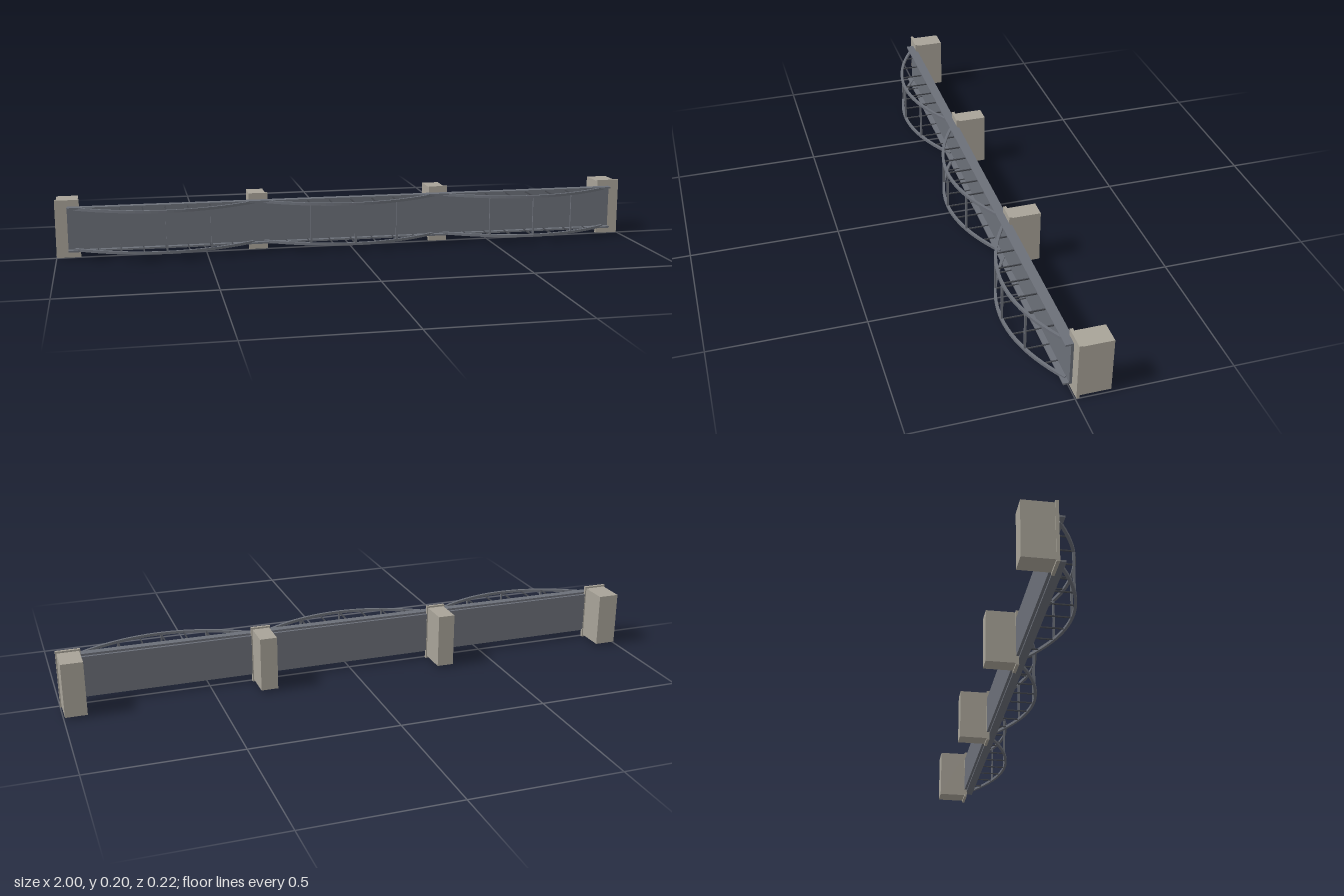
import * as THREE from 'three';

const concrete = new THREE.MeshStandardMaterial({ color: 0xa8a398 });
concrete.name = 'concrete';
const steel = new THREE.MeshStandardMaterial({ color: 0x6b6f78 });
steel.name = 'steel';
const cableSteel = new THREE.MeshStandardMaterial({ color: 0x44474d });
cableSteel.name = 'dark steel';

const MID = 0.0985; // centre line of the roadway in y

// box from min and max corners
function box(name, material, [x0, x1], [y0, y1], [z0, z1]) {
  const mesh = new THREE.Mesh(new THREE.BoxGeometry(x1 - x0, y1 - y0, z1 - z0), material);
  mesh.position.set((x0 + x1) / 2, (y0 + y1) / 2, (z0 + z1) / 2);
  mesh.name = name;
  return mesh;
}

const HALF_SPAN = 0.3;
const archHeight = (u) => 0.008 + 0.1 * (1 - (u / HALF_SPAN) ** 2);

// parabolic rib of constant thickness, extruded across the bridge
function archRib() {
  const outer = [], inner = [], steps = 24, t = 0.0046;
  for (let i = 0; i <= steps; i++) {
    const u = -HALF_SPAN + (2 * HALF_SPAN * i) / steps;
    const slope = (-0.2 * u) / HALF_SPAN ** 2;
    const n = new THREE.Vector2(-slope, 1).normalize().multiplyScalar(t);
    const p = new THREE.Vector2(u, archHeight(u));
    outer.push(p.clone().add(n));
    inner.unshift(p.clone().sub(n));
  }
  const geometry = new THREE.ExtrudeGeometry(new THREE.Shape([...outer, ...inner]), { depth: 0.009, bevelEnabled: false });
  return geometry.translate(0, 0, -0.0045).rotateX(Math.PI / 2);
}

export function createModel() {
  const bridge = new THREE.Group();
  bridge.name = 'archBridge';

  // roadway slab, underside beam and edge girders
  bridge.add(box('deckSlab', steel, [-0.96, 0.96], [0.023, 0.174], [-0.004, 0.005]));
  bridge.add(box('deckUnderside', steel, [-0.96, 0.96], [0.03, 0.167], [-0.013, -0.004]));
  for (const [y0, y1] of [[0.023, 0.029], [0.168, 0.174]]) {
    bridge.add(box('edgeGirder', steel, [-0.96, 0.96], [y0, y1], [-0.004, 0.023]));
  }

  // piers with slightly wider caps
  const piers = [[-0.96, 0.04], [-0.32, 0.033], [0.32, 0.033], [0.96, 0.04]];
  for (const [x, half] of piers) {
    const pier = new THREE.Group();
    pier.name = 'pier';
    const w = half - 0.004;
    pier.add(box('pierShaft', concrete, [x - w, x + w], [0.007, 0.19], [-0.112, -0.0125]));
    pier.add(box('pierCap', concrete, [x - half, x + half], [0, 0.196], [-0.0135, -0.0035]));
    bridge.add(pier);
  }

  // three arch spans, each with two ribs, hangers and cross struts
  const ribGeometry = archRib();
  for (const x of [-0.637, 0, 0.637]) {
    const span = new THREE.Group();
    span.name = 'archSpan';
    for (const side of [-1, 1]) {
      const y = MID + side * 0.0695;
      const rib = new THREE.Mesh(ribGeometry, steel);
      rib.name = 'archRib';
      rib.position.set(0, y, 0);
      span.add(rib);
      for (let k = -3; k <= 3; k++) {
        const u = k * 0.075;
        span.add(box('hanger', cableSteel, [u - 0.002, u + 0.002], [y - 0.002, y + 0.002], [0.004, archHeight(u)]));
      }
    }
    for (const u of [-0.15, 0, 0.15]) {
      const z = archHeight(u);
      span.add(box('crossStrut', steel, [u - 0.003, u + 0.003], [MID - 0.068, MID + 0.068], [z - 0.0035, z + 0.0035]));
    }
    span.position.x = x;
    bridge.add(span);
  }
  return bridge;
}
